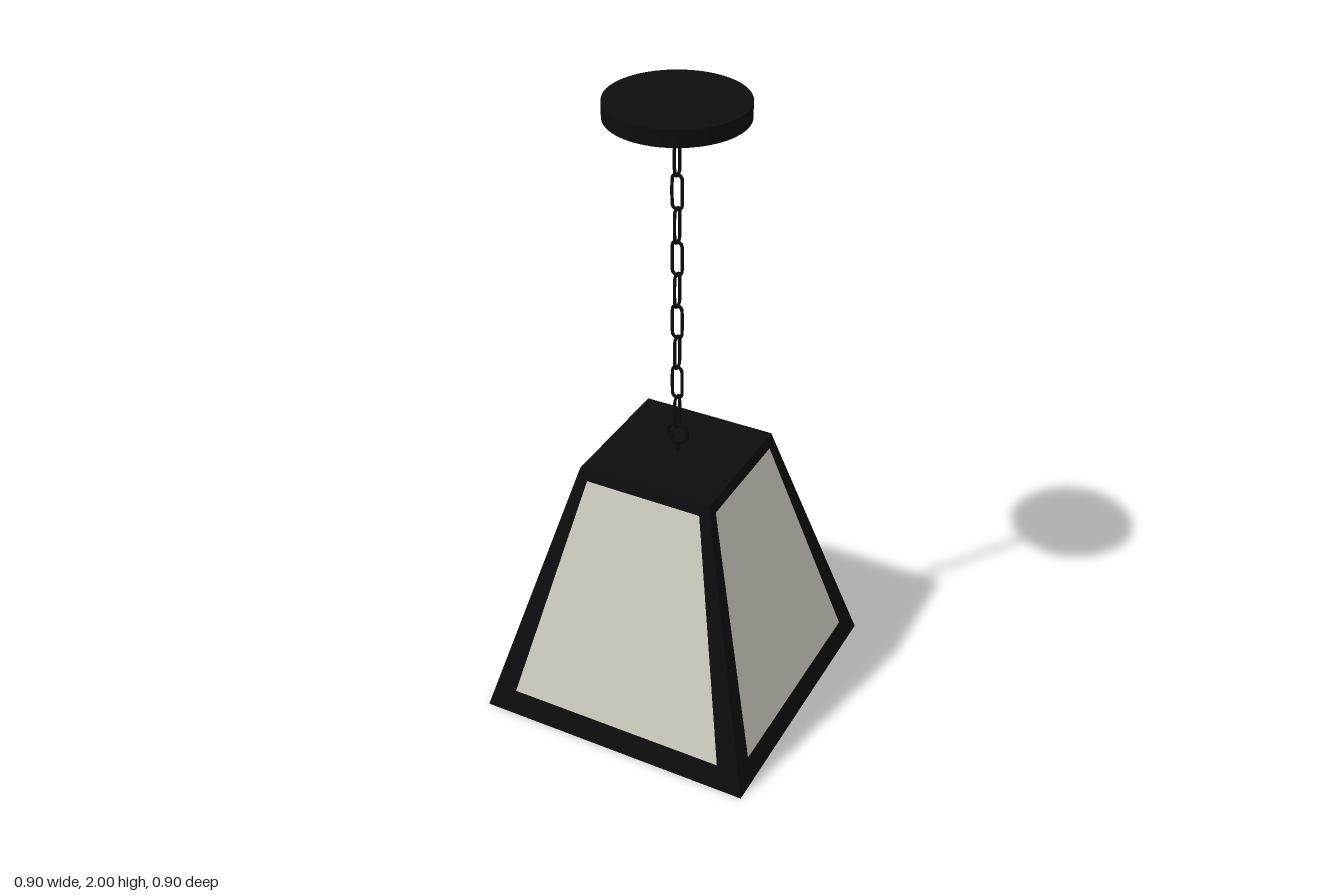
import * as THREE from 'three';

const H = 0.86;                              // shade height
const half = y => 0.449 - 0.272 * y;         // outer half width of the shade at height y
const postWidth = y => 0.0745 - 0.0467 * y;  // face width of a corner post at height y

// Square ring or shell: [half width, y] profile swept around four sides
function squareLathe(profile) {
  const points = profile.map(([h, y]) => new THREE.Vector2(h * Math.SQRT2, y));
  return new THREE.LatheGeometry(points, 4, Math.PI / 4).toNonIndexed();
}

// Tapered L-section post on the +x +z corner, lofted from bottom to top
function postGeometry() {
  const t = 0.03;
  const section = y => {
    const h = half(y), w = postWidth(y);
    return [[h, h], [h, h - w], [h - t, h - w], [h - t, h - t], [h - w, h - t], [h - w, h]]
      .map(([x, z]) => [x, y, z]);
  };
  const low = section(0.01), high = section(H - 0.01), pos = [];
  for (let i = 0; i < low.length; i++) {
    const j = (i + 1) % low.length;
    pos.push(...low[i], ...low[j], ...high[j], ...low[i], ...high[j], ...high[i]);
  }
  const g = new THREE.BufferGeometry();
  g.setAttribute('position', new THREE.Float32BufferAttribute(pos, 3));
  g.computeVertexNormals();
  return g;
}

// Closed stadium-shaped wire loop in the xy plane
function linkGeometry() {
  const r = 0.0155, s = 0.038, pts = [];
  for (let i = 0; i <= 8; i++) {
    const a = Math.PI * i / 8;
    pts.push(new THREE.Vector3(r * Math.cos(a), s + r * Math.sin(a), 0));
  }
  for (let i = 0; i <= 8; i++) {
    const a = Math.PI * (1 + i / 8);
    pts.push(new THREE.Vector3(r * Math.cos(a), -s + r * Math.sin(a), 0));
  }
  return new THREE.TubeGeometry(new THREE.CatmullRomCurve3(pts, true, 'centripetal'), 64, 0.005, 8, true);
}

export function createModel() {
  const model = new THREE.Group();
  const metal = new THREE.MeshStandardMaterial({ color: 0x0d0d0d });
  metal.name = 'blackMetal';
  const frameMetal = metal.clone();
  frameMetal.flatShading = true;
  const glass = new THREE.MeshStandardMaterial({ color: 0xd0ccc0, side: THREE.DoubleSide, flatShading: true });
  glass.name = 'frostedGlass';

  const add = (name, geometry, material, y = 0, parent = model) => {
    const mesh = new THREE.Mesh(geometry, material);
    mesh.name = name;
    mesh.position.y = y;
    parent.add(mesh);
    return mesh;
  };

  // Shade frame: open bottom ring, closed top cap, four corner posts
  const b = 0.075, c = 0.825, d = 0.05;
  add('bottomRing', squareLathe([
    [half(0), 0], [half(b), b], [half(b) - d, b], [half(0) - d, 0], [half(0), 0],
  ]), frameMetal);
  add('topCap', squareLathe([[0, c], [half(c), c], [half(H), H], [0, H]]), frameMetal);
  const post = postGeometry();
  for (let i = 0; i < 4; i++) {
    add('cornerPost', post, frameMetal).rotation.y = i * Math.PI / 2;
  }

  // Four glass panes, set just behind the frame's outer face
  const inset = 0.003;
  add('glassPanes', squareLathe([[half(0.06) - inset, 0.06], [half(0.84) - inset, 0.84]]), glass);

  // Hanging eye on the cap
  add('eyeStem', new THREE.CylinderGeometry(0.007, 0.007, 0.04, 12), metal, 0.873);
  add('eyeRing', new THREE.TorusGeometry(0.032, 0.008, 10, 32), metal, 0.926);

  // Chain of alternating links
  const chain = new THREE.Group();
  chain.name = 'chain';
  model.add(chain);
  const link = linkGeometry();
  for (let i = 0; i < 10; i++) {
    add('chainLink', link, metal, 1.001 + i * 0.1035, chain).rotation.y = i % 2 ? 0 : Math.PI / 2;
  }

  // Ceiling canopy
  add('canopy', new THREE.CylinderGeometry(0.205, 0.205, 0.05, 48), metal, 1.975);
  return model;
}
